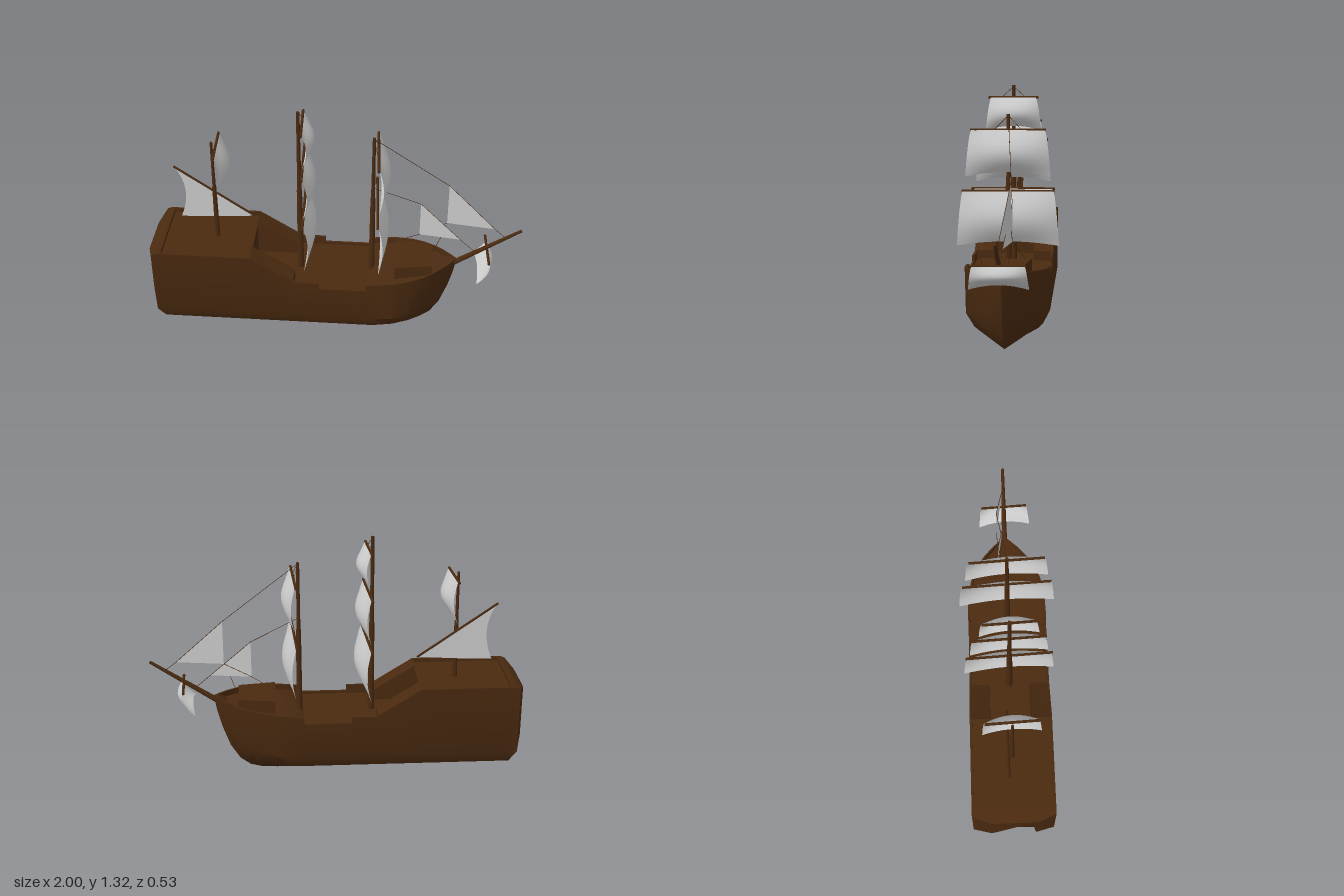
import * as THREE from 'three';
import { toCreasedNormals } from 'three/addons/utils/BufferGeometryUtils.js';

const wood = new THREE.MeshStandardMaterial({ color: 0x4a2a10, side: THREE.DoubleSide });
const cloth = new THREE.MeshStandardMaterial({ color: 0xcccccc, side: THREE.DoubleSide });
const V = (x, y, z = 0) => new THREE.Vector3(x, y, z);
const { lerp } = THREE.MathUtils;

function add(parent, name, geometry, material = wood) {
  const mesh = new THREE.Mesh(geometry, material);
  mesh.name = name;
  parent.add(mesh);
  return mesh;
}

// Tapered round pole between two points
function spar(parent, name, a, b, r0, r1 = r0, sides = 10) {
  const dir = b.clone().sub(a);
  const mesh = add(parent, name, new THREE.CylinderGeometry(r1, r0, dir.length(), sides));
  mesh.position.copy(a).add(b).multiplyScalar(0.5);
  mesh.quaternion.setFromUnitVectors(V(0, 1), dir.normalize());
}

const rope = (parent, name, ...pts) => {
  for (let i = 1; i < pts.length; i++) spar(parent, name, pts[i - 1], pts[i], 0.0015, 0.0015, 4);
};

// Closed hull section from its left-hand corners; the right is mirrored
function section(top, side, chine, keel, deck, inner) {
  const half = [V(top.x, deck, inner), V(top.x, top.y, inner), top, side, chine];
  return [...half, keel, ...half.map((p) => V(p.x, p.y, -p.z)).reverse()];
}

// Straight-sided section; the foot follows the raked stern
function midship(x, top, deck, inner = 0.207) {
  const foot = Math.max(x, -0.93);
  return section(V(x, top, 0.22), V(x, 0.17, 0.22), V(foot, 0.1, 0.185), V(foot, 0.005), deck, inner);
}

// Bow section: each edge runs from the midship to the stem as t goes 0 to 1
function bow(t) {
  const edge = (xEnd, y0, y1, rise, half, taper) =>
    V(lerp(0.22, xEnd, t), lerp(y0, y1, t ** rise), half * (1 - t ** taper));
  const top = edge(0.663, 0.405, 0.45, 1, 0.22, 2.7);
  return section(top,
    edge(0.655, 0.17, 0.4, 3.2, 0.22, 2.2),
    edge(0.648, 0.1, 0.36, 5, 0.185, 1.6),
    edge(0.645, 0.005, 0.35, 5.5, 0, 1),
    t < 0.95 ? top.y - 0.03 : top.y, Math.max(top.z - 0.013, 0));
}

function hullGeometry() {
  const transom = section(V(-1, 0.51, 0.12), V(-1, 0.23, 0.12), V(-0.96, 0.16, 0.11), V(-0.93, 0.005), 0.51, 0.11);
  // x, rail height, deck height, inner half-width
  const stern = [
    [-0.965, 0.54, 0.54], [-0.94, 0.55, 0.55], [-0.92, 0.55, 0.55],
    [-0.92, 0.55, 0.53], [-0.44, 0.55, 0.53], [-0.44, 0.55, 0.53, 0.11],
    [-0.44, 0.55, 0.35, 0.11], [-0.21, 0.405, 0.35, 0.11],
  ];
  const waist = [
    [-0.21, 0.405, 0.35], [-0.2, 0.4, 0.35], [-0.07, 0.4, 0.35],
    [-0.07, 0.365, 0.35], [0.18, 0.365, 0.35], [0.18, 0.4, 0.35],
  ];
  const rings = [transom];
  for (const s of [...stern, ...waist]) rings.push(midship(...s));
  for (const t of [0, 0.25, 0.45, 0.6, 0.73, 0.85, 0.95, 1]) rings.push(bow(t));

  const out = [];
  const tri = (a, b, c) => {
    const area = b.clone().sub(a).cross(c.clone().sub(a)).length();
    if (area > 1e-7) for (const p of [a, b, c]) out.push(p.x, p.y, p.z);
  };
  const n = transom.length;
  for (let i = 1; i < rings.length; i++) {
    const a = rings[i - 1], b = rings[i];
    for (let j = 0; j < n; j++) {
      const k = (j + 1) % n;
      tri(a[j], a[k], b[k]);
      tri(a[j], b[k], b[j]);
    }
  }
  for (let j = 1; j < n - 1; j++) tri(transom[0], transom[j + 1], transom[j]);
  const g = new THREE.BufferGeometry();
  g.setAttribute('position', new THREE.Float32BufferAttribute(out, 3));
  return toCreasedNormals(g, 0.5);
}

// Billowing square sail hung from a yard; lean shifts the foot along x
function squareSail(parent, name, x, y, drop, yardHalf, topHalf, footHalf, lean = 0) {
  const g = new THREE.Group();
  g.name = name;
  g.position.set(x, y, 0);
  g.rotation.y = 0.05;
  parent.add(g);
  spar(g, 'yard', V(0, 0, -yardHalf), V(0, 0, yardHalf), 0.007, 0.007, 8);
  const geo = new THREE.PlaneGeometry(2, 1, 12, 10);
  const p = geo.attributes.position;
  for (let i = 0; i < p.count; i++) {
    const u = p.getX(i), v = 0.5 - p.getY(i);
    const crown = 1 - u * u;
    p.setXYZ(i,
      0.006 + lean * v + Math.sin(Math.PI * v) * (0.022 + 0.03 * crown) + 0.012 * v * crown,
      -v * drop + 0.025 * crown * v * v,
      -u * lerp(topHalf, footHalf, v ** 0.7));
  }
  geo.computeVertexNormals();
  add(g, 'sail', geo, cloth);
}

// Flat three-cornered sail
function jib(parent, name, a, b, c) {
  const g = new THREE.BufferGeometry().setFromPoints([a, b, c]);
  g.computeVertexNormals();
  add(parent, name, g, cloth);
}

// Mast with a thick lower part and a thin topmast
function mast(parent, name, x, foot, step, top, r) {
  spar(parent, name, V(x, foot), V(x, step), r, r * 0.8);
  spar(parent, name + 'Top', V(x, step), V(x, top), r * 0.65, r * 0.5);
}

export function createModel() {
  const ship = new THREE.Group();
  ship.name = 'sailingShip';
  add(ship, 'hull', hullGeometry());

  // Forecastle house, narrowing towards the bow
  const house = new THREE.Shape([[0.33, 0.13], [0.53, 0.1], [0.53, -0.1], [0.33, -0.13]].map((p) => new THREE.Vector2(...p)));
  const houseGeo = new THREE.ExtrudeGeometry(house, { depth: 0.09, bevelEnabled: false });
  houseGeo.rotateX(-Math.PI / 2).translate(0, 0.372, 0);
  add(ship, 'forecastle', houseGeo);

  mast(ship, 'mizzenMast', -0.645, 0.52, 0.85, 1.125, 0.014);
  mast(ship, 'mainMast', -0.19, 0.34, 0.85, 1.325, 0.018);
  mast(ship, 'foreMast', 0.2, 0.34, 0.82, 1.19, 0.017);
  spar(ship, 'bowsprit', V(0.6, 0.39), V(0.995, 0.652), 0.016, 0.008);

  // Square sails: x, yard height, drop, yard half, sail half at head and foot
  squareSail(ship, 'mizzenTopsail', -0.622, 1.105, 0.215, 0.135, 0.125, 0.15);
  squareSail(ship, 'mainTopgallant', -0.17, 1.26, 0.18, 0.135, 0.122, 0.152);
  squareSail(ship, 'mainTopsail', -0.168, 1.03, 0.23, 0.19, 0.175, 0.205);
  squareSail(ship, 'mainCourse', -0.165, 0.76, 0.265, 0.23, 0.215, 0.245);
  squareSail(ship, 'foreTopsail', 0.225, 1.11, 0.24, 0.195, 0.19, 0.22);
  squareSail(ship, 'foreCourse', 0.225, 0.795, 0.285, 0.24, 0.235, 0.265);
  squareSail(ship, 'spritsail', 0.822, 0.517, 0.125, 0.13, 0.125, 0.145, -0.065);

  // Fore-and-aft sail on its slanting gaff
  spar(ship, 'gaff', V(-0.86, 0.953, -0.022), V(-0.435, 0.655, -0.022), 0.006);
  const spanker = new THREE.Shape();
  spanker.moveTo(-0.855, 0.947);
  spanker.quadraticCurveTo(-0.765, 0.81, -0.84, 0.635);
  spanker.quadraticCurveTo(-0.64, 0.64, -0.44, 0.657);
  spanker.closePath();
  add(ship, 'spankerSail', new THREE.ShapeGeometry(spanker, 10).translate(0, 0, -0.022), cloth);

  // Jibs and their stays
  const head1 = V(0.6, 0.89, -0.045), clew1 = V(0.6, 0.65, -0.045), tack1 = V(0.855, 0.65, -0.008);
  const head2 = V(0.455, 0.77, -0.04), clew2 = V(0.455, 0.57, -0.04), tack2 = V(0.675, 0.57, -0.008);
  jib(ship, 'outerJib', head1, clew1, tack1);
  jib(ship, 'innerJib', head2, clew2, tack2);
  rope(ship, 'outerStay', V(0.2, 1.185), head1, tack1, V(0.91, 0.605));
  rope(ship, 'innerStay', V(0.2, 0.885), head2, tack2, V(0.755, 0.5));
  rope(ship, 'outerSheet', clew1, clew2, V(0.22, 0.44, -0.09));
  rope(ship, 'innerSheet', V(0.57, 0.57, -0.02), V(0.53, 0.46, -0.03));

  // Lifts from the mastheads to the upper yards
  for (const s of [-1, 1]) {
    rope(ship, 'mainLift', V(-0.19, 1.318), V(-0.17, 1.262, s * 0.062));
    rope(ship, 'foreLift', V(0.2, 1.183), V(0.225, 1.112, s * 0.07));
  }
  return ship;
}
